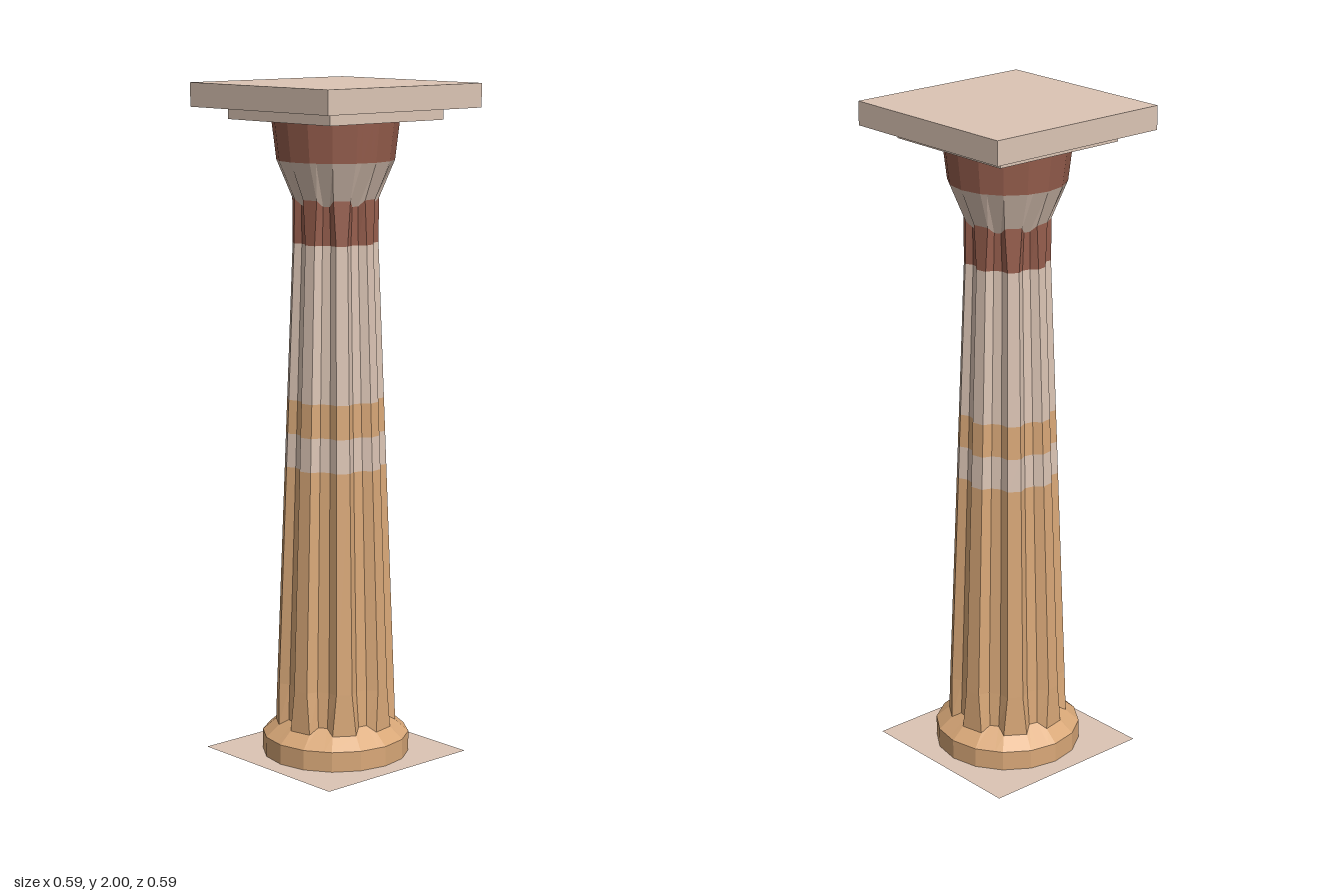
import * as THREE from 'three';

const ORANGE = 0xd9a878, BEIGE = 0xdcc5b5, RED = 0x985f4e;
const FLUTES = 8;
const HALF = Math.PI / 16; // half width of a full-width rib

function material(color, side = THREE.FrontSide) {
  const m = new THREE.MeshStandardMaterial({ color, side, flatShading: true });
  return m;
}

// Ring of ribs and flutes; r = radius, y = height, half = rib half angle,
// depth = flute depth as a share of the radius, lift = height offset inside the flute.
function ring({ r, y, half = HALF, depth = 0, lift = 0 }) {
  const points = [];
  const step = (Math.PI * 2) / FLUTES;
  const corner = (a) => new THREE.Vector3(Math.sin(a) * r, y, Math.cos(a) * r);
  for (let i = 0; i < FLUTES; i++) {
    const mid = i * step + HALF;
    const a = corner(mid - half), b = corner(mid + half), c = corner(mid + step - half);
    points.push(a, b);
    for (const t of [0.28, 0.72]) {
      const p = b.clone().lerp(c, t);
      p.x *= 1 - depth;
      p.z *= 1 - depth;
      p.y += lift;
      points.push(p);
    }
  }
  return points;
}

// Skin a stack of rings, bottom to top, with flat facets.
function loft(name, color, sections) {
  const rings = sections.map(ring);
  const pos = [];
  for (let k = 0; k < rings.length - 1; k++) {
    const lo = rings[k], hi = rings[k + 1];
    for (let i = 0; i < lo.length; i++) {
      const j = (i + 1) % lo.length;
      for (const p of [lo[i], lo[j], hi[j], lo[i], hi[j], hi[i]]) pos.push(p.x, p.y, p.z);
    }
  }
  const geo = new THREE.BufferGeometry();
  geo.setAttribute('position', new THREE.Float32BufferAttribute(pos, 3));
  geo.computeVertexNormals();
  const mesh = new THREE.Mesh(geo, material(color));
  mesh.name = name;
  return mesh;
}

function slab(name, half, y0, y1) {
  const mesh = new THREE.Mesh(new THREE.BoxGeometry(half * 2, y1 - y0, half * 2), material(BEIGE));
  mesh.position.y = (y0 + y1) / 2;
  mesh.name = name;
  return mesh;
}

// Fluted cross-section of the tapering shaft
function shaftAt(y) {
  const r = 0.18 - (0.055 * (y - 0.1)) / 1.44;
  return { r, y, half: HALF * 0.68, depth: 0.12 };
}

export function createModel() {
  const group = new THREE.Group();
  group.name = 'column';

  // Thin ground sheet
  const sheet = new THREE.Mesh(new THREE.PlaneGeometry(0.552, 0.552), material(BEIGE, THREE.DoubleSide));
  sheet.rotation.x = -Math.PI / 2;
  sheet.name = 'baseSheet';
  group.add(sheet);

  // Ends of the shaft, where the ribs widen and the flutes cut into base and capital
  const foot = { r: 0.18, y: 0.095, depth: 0.12, lift: 0.018 };
  const neck = { r: 0.126, y: 1.67, depth: 0.12, lift: -0.018 };

  // Round base with bevelled top
  group.add(loft('base', ORANGE, [{ r: 0.22, y: 0 }, { r: 0.22, y: 0.06 }, foot]));

  // Painted bands of the shaft
  group.add(loft('lowerShaft', ORANGE, [foot, shaftAt(0.22), shaftAt(0.88)]));
  group.add(loft('lowerBand', BEIGE, [shaftAt(0.88), shaftAt(0.98)]));
  group.add(loft('middleBand', ORANGE, [shaftAt(0.98), shaftAt(1.08)]));
  group.add(loft('upperShaft', BEIGE, [shaftAt(1.08), shaftAt(1.54)]));
  group.add(loft('neckBand', RED, [shaftAt(1.54), neck]));

  // Flared capital
  group.add(loft('capital', BEIGE, [neck, { r: 0.172, y: 1.78 }]));
  group.add(loft('capitalBand', RED, [{ r: 0.172, y: 1.78 }, { r: 0.186, y: 1.895 }]));

  // Square top slabs
  group.add(slab('lowerSlab', 0.22, 1.895, 1.93));
  group.add(slab('topSlab', 0.297, 1.93, 2));

  return group;
}
